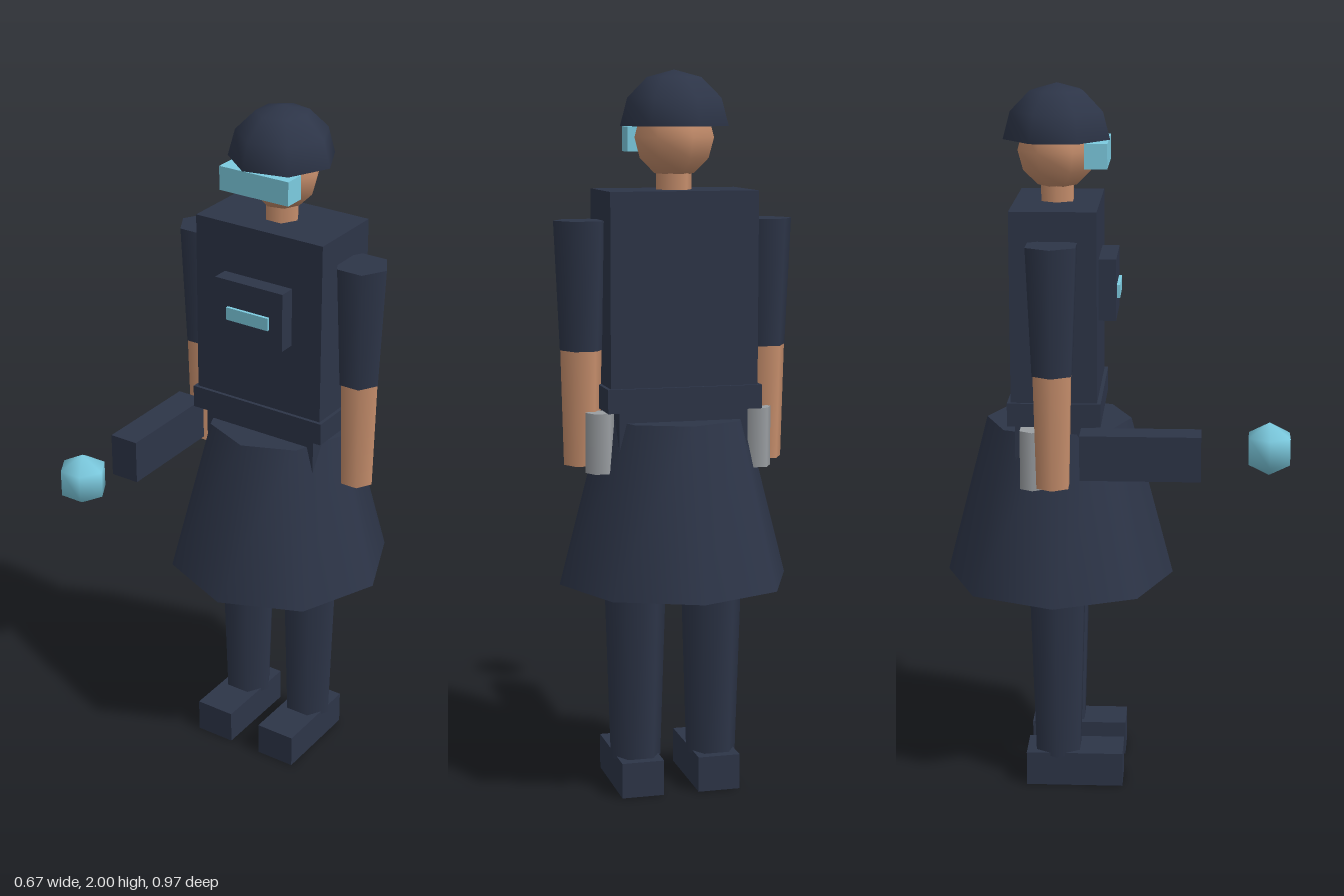
import * as THREE from 'three';

export function createModel() {
  const model = new THREE.Group();
  model.name = 'uniformedFigure';
  const body = new THREE.Group();
  body.name = 'body';
  body.position.z = -0.16; // the figure stands behind the floating orb
  model.add(body);

  const mat = (name, color, side = THREE.FrontSide) => {
    const m = new THREE.MeshStandardMaterial({ color, side });
    m.name = name;
    return m;
  };
  const navy = mat('navyCloth', 0x2d3548, THREE.DoubleSide);
  const skin = mat('skin', 0xc68e6c);
  const cyan = mat('cyanGlow', 0x7ccbe0);
  const grey = mat('greyMetal', 0x9a9ea2);

  const add = (name, geometry, material, x, y, z, parent = body) => {
    const mesh = new THREE.Mesh(geometry, material);
    mesh.name = name;
    mesh.position.set(x, y, z);
    parent.add(mesh);
    return mesh;
  };
  // Box given by its lower and upper corners
  const box = (name, material, x0, x1, y0, y1, z0, z1, parent) =>
    add(name, new THREE.BoxGeometry(x1 - x0, y1 - y0, z1 - z0), material,
      (x0 + x1) / 2, (y0 + y1) / 2, (z0 + z1) / 2, parent);
  // Six-sided tapered limb with corners on the x axis
  const limb = (name, material, rTop, rBottom, y0, y1, x, z = 0) =>
    add(name, new THREE.CylinderGeometry(rTop, rBottom, y1 - y0, 6).rotateY(Math.PI / 2),
      material, x, (y0 + y1) / 2, z);

  // Head, helmet and visor
  add('head', new THREE.SphereGeometry(0.11, 7, 6).rotateY(Math.PI), skin, 0, 1.82, 0);
  add('helmet', new THREE.SphereGeometry(0.15, 7, 3, 0, Math.PI * 2, 0, Math.PI / 2).rotateY(Math.PI),
    navy, 0, 1.85, 0);
  box('visor', cyan, -0.11, 0.11, 1.78, 1.848, 0.08, 0.142);
  limb('neck', skin, 0.05, 0.05, 1.66, 1.76, 0);

  // Torso, belt and chest panel
  box('torso', navy, -0.205, 0.205, 1.1, 1.68, -0.118, 0.118);
  box('belt', navy, -0.215, 0.215, 1.09, 1.155, -0.128, 0.128);
  box('chestPanel', navy, -0.11, 0.11, 1.365, 1.535, 0.11, 0.166);
  box('chestLight', cyan, -0.068, 0.068, 1.42, 1.457, 0.166, 0.175);

  // Pelvis and skirt
  box('pelvis', navy, -0.18, 0.18, 0.93, 1.1, -0.11, 0.11);
  add('skirt', new THREE.CylinderGeometry(0.205, 0.325, 0.46, 8), navy, 0, 0.83, 0);

  // Paired limbs, shoes and hip canisters
  for (const [side, s] of [['left', 1], ['right', -1]]) {
    limb(side + 'Sleeve', navy, 0.077, 0.061, 1.25, 1.6, s * 0.258);
    limb(side + 'Forearm', skin, 0.058, 0.05, 0.935, 1.25, s * 0.26);
    limb(side + 'Leg', navy, 0.1, 0.072, 0.09, 0.97, s * 0.11);
    box(side + 'Shoe', navy, s * 0.11 - 0.06, s * 0.11 + 0.06, 0, 0.1, -0.09, 0.187);
    limb(side + 'Canister', grey, 0.04, 0.04, 0.92, 1.085, s * 0.222, -0.057);
  }

  // Hand-held device and the orb floating ahead of it
  box('device', navy, -0.304, -0.219, 0.965, 1.09, -0.085, 0.243, model);
  add('orb', new THREE.SphereGeometry(0.074, 6, 3), cyan, -0.262, 1.05, 0.427, model);

  return model;
}
